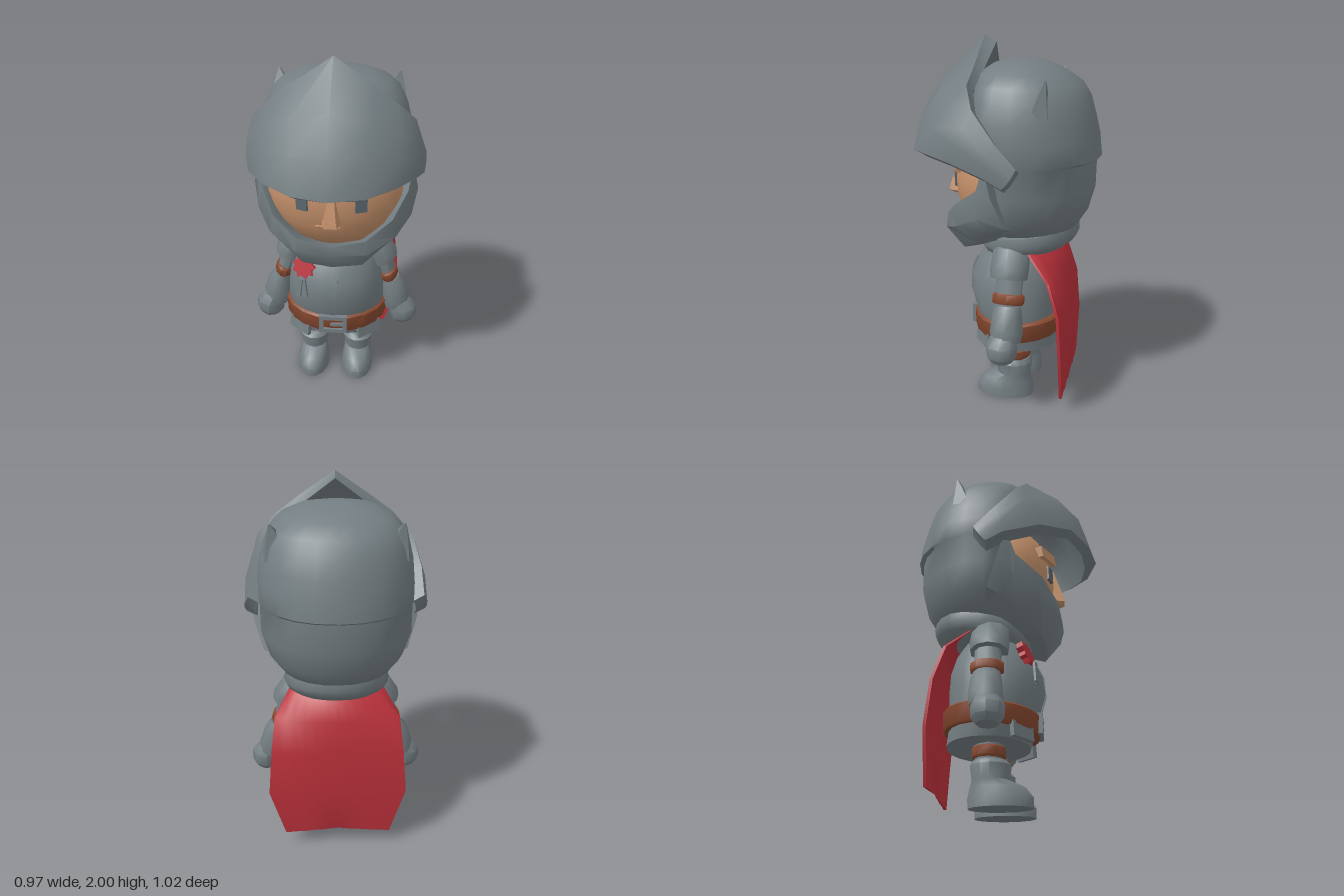
import * as THREE from 'three';
import { toCreasedNormals } from 'three/addons/utils/BufferGeometryUtils.js';

const mat = (name, color) => {
  const m = new THREE.MeshStandardMaterial({ color });
  m.name = name;
  return m;
};

// Skin through closed cross-sections; capped and turned outward automatically.
function loft(sections, crease = 0.8) {
  const tris = [], n = sections[0].length;
  for (let i = 0; i < sections.length - 1; i++) {
    const A = sections[i], B = sections[i + 1];
    for (let j = 0; j < n; j++) {
      const k = (j + 1) % n;
      tris.push([A[j], B[j], B[k]], [A[j], B[k], A[k]]);
    }
  }
  const cap = (s, flip) => {
    const c = [0, 1, 2].map(a => s.reduce((t, p) => t + p[a], 0) / n);
    s.forEach((p, j) => tris.push(flip ? [c, s[(j + 1) % n], p] : [c, p, s[(j + 1) % n]]));
  };
  cap(sections[0], false);
  cap(sections[sections.length - 1], true);
  const volume = tris.reduce((t, [a, b, c]) => t
    + a[0] * (b[1] * c[2] - b[2] * c[1])
    + a[1] * (b[2] * c[0] - b[0] * c[2])
    + a[2] * (b[0] * c[1] - b[1] * c[0]), 0);
  if (volume < 0) tris.forEach(t => t.reverse());
  const g = new THREE.BufferGeometry();
  g.setAttribute('position', new THREE.Float32BufferAttribute(tris.flat(2), 3));
  return toCreasedNormals(g, crease);
}

// Horizontal ring with separate front and back depth; e < 1 squares the front half.
function ring(y, rx, zBack, zFront, cz = (zBack + zFront) / 2, n = 20, e = 1) {
  return Array.from({ length: n }, (_, i) => {
    const a = (i / n) * Math.PI * 2, s = Math.sin(a), c = Math.cos(a);
    const p = v => Math.sign(v) * Math.abs(v) ** (c > 0.01 ? e : 0.95);
    return [rx * p(s), y, cz + p(c) * (c > 0 ? zFront - cz : cz - zBack)];
  });
}

// Limb through [x, y, z, rx, rz] stations, rings tilted across the axis.
const limb = (stations, side, tilt = 0, n = 10) => loft(stations.map(([x, y, z, rx, rz]) =>
  Array.from({ length: n }, (_, i) => {
    const a = (i / n) * Math.PI * 2, dx = Math.cos(a) * rx;
    return [side * (x + dx), y + dx * tilt, z + Math.sin(a) * rz];
  })));

// Complete a half list of sections (centre first) across x = 0.
const mirrored = half => [
  ...half.slice(1).reverse().map(s => s.map(([x, y, z]) => [-x, y, z])), ...half];

export function createModel() {
  const steel = mat('steel', 0x747e82), skin = mat('skin', 0xc4906a);
  const leather = mat('leather', 0x86482f), eyeGrey = mat('eyeGrey', 0x5a666f);
  const red = mat('red', 0xb8303a);
  const model = new THREE.Group();
  const add = (name, geometry, material, pos = [0, 0, 0], rot = [0, 0, 0]) => {
    const m = new THREE.Mesh(geometry, material);
    m.name = name;
    m.position.set(...pos);
    m.rotation.set(...rot);
    model.add(m);
  };
  const box = (w, h, d) => new THREE.BoxGeometry(w, h, d);

  // Helmet dome: ledge at the back, squarer crown reaching under the visor
  add('helmetDome', loft([
    [0.98, 0.24, -0.34, 0.02], [1.02, 0.3, -0.4, 0], [1.1, 0.36, -0.45, 0],
    [1.23, 0.4, -0.485, 0.02], [1.385, 0.4, -0.487, 0.04], [1.4, 0.405, -0.512, 0.06],
    [1.5, 0.405, -0.5, 0.14], [1.6, 0.395, -0.475, 0.15], [1.7, 0.37, -0.445, 0.145],
    [1.77, 0.335, -0.4, 0.135], [1.825, 0.28, -0.32, 0.12], [1.865, 0.19, -0.23, 0.06],
    [1.885, 0.08, -0.14, -0.02],
  ].map(([y, rx, b, f]) => ring(y, rx, b, f, -0.1, 24, 0.68))), steel);
  // Small raised corners at the back of the crown
  for (const s of [-1, 1]) {
    add('crownCorner', loft([
      [[0.37, 1.63, -0.19], [0.35, 1.63, -0.28], [0.28, 1.68, -0.28], [0.27, 1.72, -0.17]],
      [[0.35, 1.74, -0.23], [0.34, 1.74, -0.27], [0.28, 1.75, -0.27], [0.28, 1.76, -0.21]],
      [[0.33, 1.815, -0.26], [0.328, 1.815, -0.265], [0.32, 1.815, -0.265], [0.32, 1.815, -0.255]],
    ].map(sec => sec.map(([x, y, z]) => [s * x, y, z]))), steel);
  }

  // Raised pointed visor: bottom, middle and top of the outer face, then the inner face
  const visor = [
    [[0, 1.42, 0.51], [0, 1.62, 0.455], [0, 1.8, 0.335], [0, 2, 0.12]],
    [[0.18, 1.42, 0.465], [0.19, 1.6, 0.415], [0.2, 1.74, 0.3], [0.19, 1.87, 0.12]],
    [[0.33, 1.44, 0.37], [0.34, 1.57, 0.32], [0.335, 1.67, 0.23], [0.31, 1.78, 0.13]],
    [[0.43, 1.42, 0.2], [0.44, 1.52, 0.18], [0.435, 1.59, 0.13], [0.41, 1.68, 0.08]],
    [[0.472, 1.36, 0.01], [0.478, 1.42, 0], [0.475, 1.47, -0.01], [0.45, 1.53, -0.04]],
    [[0.472, 1.31, -0.08], [0.478, 1.34, -0.11], [0.475, 1.37, -0.13], [0.455, 1.41, -0.15]],
  ].map(outer => [...outer, ...[...outer].reverse().map(([x, y, z]) =>
    [x * 0.88, y - 0.03, z - 0.065 * (1 - x / 0.48)])]);
  add('visor', loft(mirrored(visor)), steel);

  // Jaw guard: inner rim, outer rim, front, underside, throat
  add('jawGuard', loft(mirrored([
    [[0, 1.015, 0.25], [0, 1.045, 0.305], [0, 0.99, 0.31], [0, 0.87, 0.22], [0, 0.91, 0]],
    [[0.16, 1.04, 0.22], [0.18, 1.08, 0.285], [0.19, 1, 0.29], [0.16, 0.88, 0.2], [0.13, 0.92, 0]],
    [[0.28, 1.13, 0.16], [0.315, 1.17, 0.205], [0.335, 1.06, 0.19], [0.29, 0.96, 0.1], [0.2, 0.96, -0.05]],
    [[0.345, 1.235, 0.05], [0.39, 1.27, 0.07], [0.415, 1.13, 0.06], [0.365, 1.04, 0], [0.2, 1, -0.1]],
    [[0.35, 1.42, 0.02], [0.415, 1.4, 0.025], [0.445, 1.25, -0.02], [0.39, 1.08, -0.08], [0.2, 1.02, -0.14]],
  ])), steel);

  // Face
  const head = new THREE.SphereGeometry(1, 24, 14);
  head.scale(0.37, 0.35, 0.265);
  add('face', head, skin, [0, 1.27, 0]);
  add('nose', loft([[1.37, 0.02, 0.2, 0.262], [1.2, 0.05, 0.2, 0.315], [1.165, 0.062, 0.2, 0.32],
    [1.15, 0.05, 0.2, 0.29]].map(([y, w, b, f]) =>
    [[-w, y, b], [-w * 0.55, y, f], [w * 0.55, y, f], [w, y, b]])), skin);
  add('mouth', box(0.13, 0.012, 0.009), skin, [-0.02, 1.13, 0.241], [0.35, 0, -0.08]);
  for (const s of [-1, 1]) {
    add('eye', box(0.062, 0.08, 0.03), eyeGrey, [s * 0.15, 1.27, 0.235], [0, s * 0.35, 0]);
    add('eyebrow', box(0.18, 0.06, 0.05), skin, [s * 0.175, 1.37, 0.218], [-0.1, s * 0.4, -s * 0.12]);
  }

  // Neck collar: a band that rises toward the back
  const collar = [[0.89, 0.22], [0.92, 0.265], [0.96, 0.285], [1.01, 0.275], [1.02, 0.22]]
    .map(([y, r]) => ring(y, r, -0.135 - r * 0.96, -0.135 + r * 0.96)
      .map(([x, py, z]) => [x, py - 0.04 - z * 0.16, z]));
  add('collar', loft(collar), steel);

  // Torso, skirt and belt
  add('torso', loft([
    [0.36, 0.26, -0.3, 0.12], [0.5, 0.285, -0.31, 0.165], [0.62, 0.28, -0.315, 0.2],
    [0.72, 0.265, -0.31, 0.19], [0.82, 0.235, -0.28, 0.14], [0.9, 0.18, -0.23, 0.08],
    [0.98, 0.13, -0.2, 0.02],
  ].map(([y, rx, b, f]) => ring(y, rx, b, f))), steel);
  add('skirt', loft([[0.31, 0.2, -0.26, 0.06], [0.33, 0.265, -0.32, 0.12], [0.41, 0.285, -0.31, 0.14]]
    .map(([y, rx, b, f]) => ring(y, rx, b, f))), steel);
  for (const s of [-1, 1]) {
    add('tasset', box(0.15, 0.08, 0.025), steel, [s * 0.2, 0.365, 0.085], [-0.15, s * 0.65, s * 0.12]);
  }
  add('belt', loft([[0.39, 0.292], [0.4, 0.3], [0.49, 0.304], [0.5, 0.294]]
    .map(([y, rx]) => ring(y, rx, -0.04 - rx, rx - 0.128)
      .map(([x, py, z]) => [x, py - z * 0.04, z]))), leather);
  add('chestPlacket', loft([[0.51, 0.175], [0.62, 0.205], [0.72, 0.196], [0.78, 0.168]].map(([y, z]) =>
    [[0, y, z - 0.03], [0, y, z], [0.025, y, z], [0.025, y, z - 0.03]])), steel);

  // Buckle
  const frame = new THREE.Shape([[-0.08, -0.055], [0.08, -0.055], [0.08, 0.055], [-0.08, 0.055]]
    .map(p => new THREE.Vector2(...p)));
  frame.holes.push(new THREE.Path([[-0.055, -0.032], [-0.055, 0.032], [0.055, 0.032], [0.055, -0.032]]
    .map(p => new THREE.Vector2(...p))));
  add('buckle', new THREE.ExtrudeGeometry(frame, { depth: 0.03, bevelEnabled: false }), steel, [0, 0.445, 0.155]);
  add('bucklePin', box(0.09, 0.018, 0.02), steel, [0.03, 0.445, 0.175]);

  // Rosette with two ribbon tails
  const star = new THREE.Shape(Array.from({ length: 18 }, (_, i) => {
    const a = (i / 18) * Math.PI * 2, r = i % 2 ? 0.054 : 0.072;
    return new THREE.Vector2(Math.cos(a) * r, Math.sin(a) * r);
  }));
  add('rosette', new THREE.ExtrudeGeometry(star, { depth: 0.035, bevelEnabled: false }), red,
    [-0.16, 0.785, 0.09], [-0.35, -0.35, 0]);
  for (const s of [-1, 1]) {
    add('rosetteTail', box(0.03, 0.11, 0.012), steel, [-0.178 + s * 0.014, 0.68, 0.158], [-0.1, -0.4, s * 0.12]);
  }

  for (const s of [-1, 1]) {
    // Arms
    add('upperArm', limb([[0.23, 0.87, -0.08, 0.06, 0.075], [0.3, 0.68, -0.08, 0.045, 0.07],
      [0.325, 0.6, -0.08, 0.04, 0.065]], s, 0.3), steel);
    add('shoulderPad', limb([[0.15, 0.94, -0.07, 0.05, 0.06], [0.2, 0.91, -0.075, 0.08, 0.1],
      [0.26, 0.81, -0.075, 0.085, 0.105], [0.272, 0.765, -0.075, 0.08, 0.1]], s, 0.3), steel);
    add('armBand', limb([[0.3, 0.69, -0.08, 0.045, 0.08], [0.302, 0.683, -0.08, 0.052, 0.088],
      [0.312, 0.645, -0.08, 0.052, 0.088], [0.315, 0.637, -0.08, 0.045, 0.08]], s, 0.3), leather);
    add('forearm', limb([[0.32, 0.63, -0.08, 0.05, 0.07], [0.335, 0.59, -0.08, 0.066, 0.08],
      [0.355, 0.49, -0.08, 0.08, 0.09], [0.365, 0.44, -0.08, 0.074, 0.08]], s, 0.3), steel);
    add('hand', limb([[0.375, 0.48, -0.07, 0.06, 0.07], [0.4, 0.43, -0.065, 0.083, 0.085],
      [0.405, 0.37, -0.065, 0.08, 0.08], [0.41, 0.34, -0.065, 0.05, 0.055]], s, 0.15, 8), steel);

    // Legs
    add('thigh', limb([[0.135, 0.2, -0.085, 0.07, 0.07], [0.135, 0.38, -0.085, 0.08, 0.085]], s), steel);
    add('legBand', limb([[0.135, 0.245, -0.085, 0.085, 0.08], [0.135, 0.253, -0.085, 0.09, 0.087],
      [0.135, 0.295, -0.085, 0.09, 0.087], [0.135, 0.303, -0.085, 0.08, 0.08]], s), leather);
    add('boot', limb([[0.135, 0, -0.025, 0.095, 0.163], [0.135, 0.05, -0.025, 0.095, 0.165],
      [0.135, 0.1, -0.04, 0.086, 0.14], [0.135, 0.135, -0.075, 0.08, 0.095],
      [0.135, 0.21, -0.075, 0.093, 0.105], [0.135, 0.235, -0.08, 0.075, 0.085]], s, 0, 14), steel);
  }

  // Cape: rows of [y, z, half width, edge wrap], thin, with a ragged hem
  const hem = [-0.01, 0.015, 0, 0.035, 0.01, 0.025, 0.035];
  const rows = [[0.95, -0.2, 0.2, 0.08], [0.89, -0.29, 0.26, 0.11], [0.78, -0.34, 0.335, 0.055],
    [0.6, -0.368, 0.355, 0.025], [0.35, -0.375, 0.375, 0.012], [0.09, -0.37, 0.29, 0.008]];
  add('cape', loft(rows.map(([y, z, w, wrap], i) => {
    const front = Array.from({ length: 13 }, (_, j) => {
      const u = j / 6 - 1;
      return [u * w, y + (i === 5 ? hem[6 - Math.abs(j - 6)] : 0), z + wrap * u * u];
    });
    return [...front, ...[...front].reverse().map(([x, py, pz]) => [x, py, pz - 0.015])];
  }), 1.2), red);

  return model;
}
